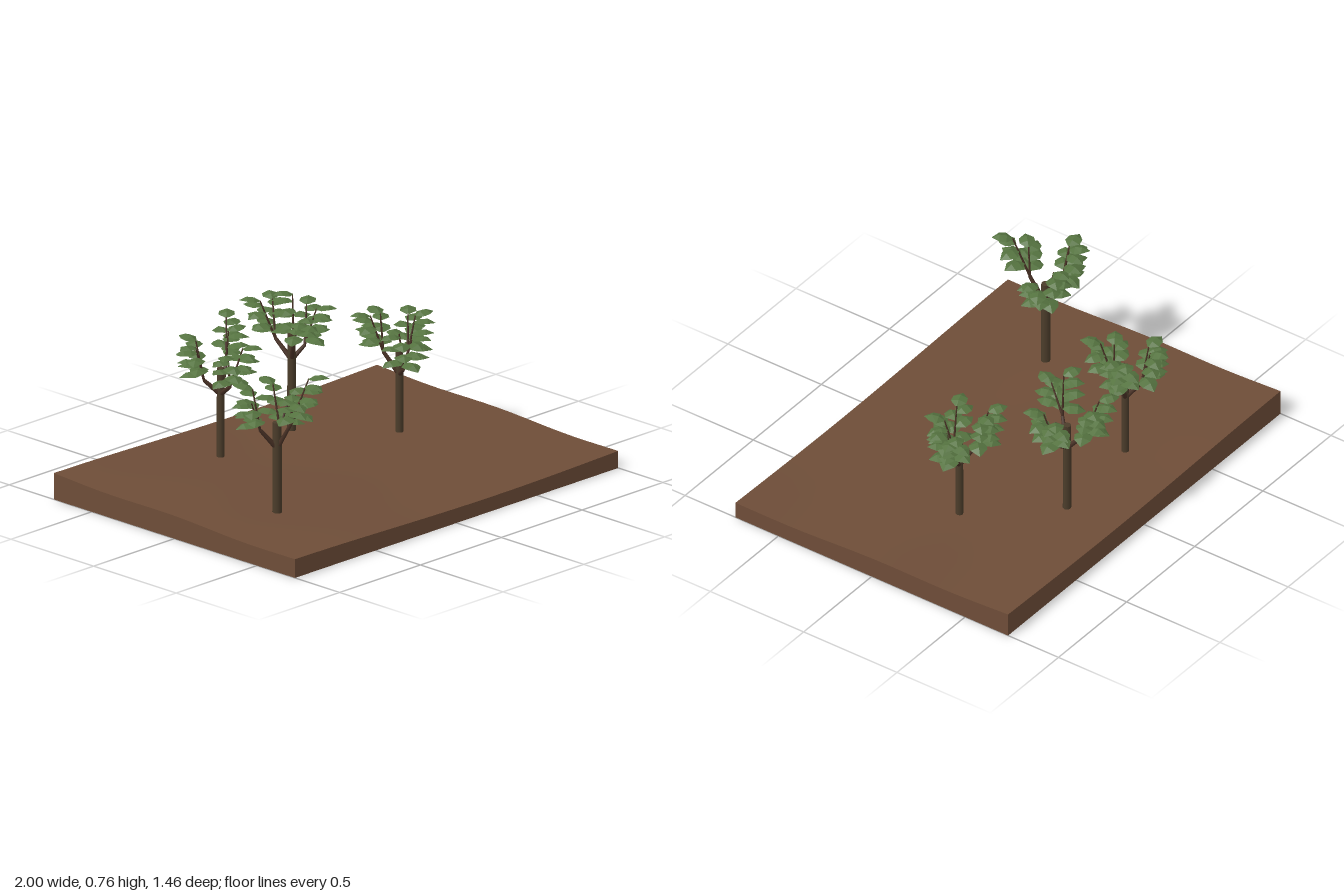
import * as THREE from 'three';

const soil = new THREE.MeshStandardMaterial({ name: 'soil brown', color: 0x6e4d38 });
const bark = new THREE.MeshStandardMaterial({ name: 'trunk bark', color: 0x4c3d2b });
const twigBark = new THREE.MeshStandardMaterial({ name: 'branch bark', color: 0x4a3226 });
const leafGreen = new THREE.MeshStandardMaterial({ name: 'leaf green', color: 0x557340 });
leafGreen.side = THREE.DoubleSide;
leafGreen.flatShading = true;

const W = 2, D = 1.46;

// Gently rolling surface of the ground slab
function groundHeight(x, z) {
  return 0.095 - 0.024 * z - 0.01 * Math.cos((x - 0.25) * 2.4)
    - 0.009 * Math.sin(Math.PI * z / 0.85) ** 2;
}

function makeGround() {
  const geo = new THREE.BoxGeometry(W, 1, D, 20, 1, 16);
  const p = geo.attributes.position;
  for (let i = 0; i < p.count; i++) {
    p.setY(i, p.getY(i) > 0 ? groundHeight(p.getX(i), p.getZ(i)) : 0);
  }
  geo.computeVertexNormals();
  const mesh = new THREE.Mesh(geo, soil);
  mesh.name = 'ground';
  return mesh;
}

// Drooping leaf pointing along +z, folded along its midrib
function makeLeafGeometry() {
  // distance, half width, midrib height, edge drop
  const sections = [[0, 0.008, 0, 0.002], [0.03, 0.04, 0.013, 0.014],
    [0.065, 0.036, 0.013, 0.014], [0.1, 0.002, -0.008, 0.001]];
  const pos = [], index = [];
  sections.forEach(([z, w, y, drop], i) => {
    pos.push(-w, y - drop, z, 0, y, z, w, y - drop, z);
    if (i === 0) return;
    for (let j = 0; j < 2; j++) {
      const a = (i - 1) * 3 + j, b = a + 3;
      index.push(a, b, a + 1, a + 1, b, b + 1);
    }
  });
  const geo = new THREE.BufferGeometry();
  geo.setAttribute('position', new THREE.Float32BufferAttribute(pos, 3));
  geo.setIndex(index);
  geo.computeVertexNormals();
  return geo;
}

// Tapered round limb between two points
function limb(a, b, r0, r1, sides, material, name) {
  const dir = b.clone().sub(a);
  const mesh = new THREE.Mesh(new THREE.CylinderGeometry(r1, r0, dir.length(), sides), material);
  mesh.position.copy(a).add(b).multiplyScalar(0.5);
  mesh.quaternion.setFromUnitVectors(new THREE.Vector3(0, 1, 0), dir.normalize());
  mesh.name = name;
  return mesh;
}

// Each branch is a pair of leaf clusters given as [x, top height, z]
const TREES = [
  { x: -0.62, z: 0.25, top: 0.5, r: 0.021, branches: [
    [[-0.79, 0.64, 0.23], [-0.72, 0.67, 0.16]],
    [[-0.55, 0.65, 0.13], [-0.47, 0.6, 0.215]],
    [[-0.65, 0.66, 0.37], [-0.545, 0.73, 0.41]]] },
  { x: -0.285, z: -0.42, top: 0.5, r: 0.017, branches: [
    [[-0.42, 0.62, -0.47], [-0.35, 0.63, -0.54]],
    [[-0.135, 0.69, -0.53], [-0.17, 0.65, -0.45]],
    [[-0.365, 0.6, -0.305], [-0.265, 0.63, -0.265]]] },
  { x: 0.19, z: -0.455, top: 0.53, r: 0.019, branches: [
    [[0.095, 0.68, -0.595], [0.21, 0.67, -0.6]],
    [[0.335, 0.64, -0.5], [0.31, 0.64, -0.38]],
    [[0.11, 0.75, -0.41], [0.1, 0.66, -0.285]]] },
  { x: 0.5, z: -0.105, top: 0.47, r: 0.017, branches: [
    [[0.385, 0.63, -0.21], [0.47, 0.63, -0.215]],
    [[0.63, 0.6, -0.18], [0.64, 0.6, -0.11]],
    [[0.395, 0.6, -0.025], [0.495, 0.55, 0.015]]] },
];

// Twig with leaves alternating left and right up its length
function makeTwig(fork, cluster, leafGeo) {
  const twig = new THREE.Group();
  twig.name = 'leafyTwig';
  const dir = new THREE.Vector3(cluster.x - fork.x, 0, cluster.z - fork.z).normalize();
  const heading = Math.atan2(dir.x, dir.z);
  const tip = cluster.clone().addScaledVector(dir, -0.03);
  tip.y -= 0.012;
  twig.add(limb(fork, tip, 0.006, 0.003, 5, twigBark, 'twig'));
  const count = 6;
  for (let i = 0; i < count; i++) {
    const t = 0.2 + 0.8 * i / (count - 1);
    const leaf = new THREE.Mesh(leafGeo, leafGreen);
    leaf.name = 'leaf';
    leaf.position.lerpVectors(fork, tip, t);
    const side = i === count - 1 ? 0 : (i % 2 ? 1 : -1);
    leaf.rotation.set(0.05 - 0.2 * (i % 3) * 0.5, heading + side * 0.6, 0, 'YXZ');
    leaf.scale.setScalar(1.05 - 0.15 * t);
    twig.add(leaf);
  }
  return twig;
}

function makeTree(spec, leafGeo) {
  const tree = new THREE.Group();
  tree.name = 'tree';
  const base = new THREE.Vector3(spec.x, groundHeight(spec.x, spec.z) - 0.015, spec.z);
  const top = new THREE.Vector3(spec.x, spec.top, spec.z);
  tree.add(limb(base, top, spec.r, spec.r * 0.95, 8, bark, 'trunk'));
  const start = new THREE.Vector3(spec.x, spec.top - 0.12, spec.z);
  for (const pair of spec.branches) {
    const clusters = pair.map((c) => new THREE.Vector3(...c));
    const mid = clusters[0].clone().add(clusters[1]).multiplyScalar(0.5);
    const fork = start.clone().lerp(mid, 0.55);
    fork.y = mid.y - 0.18;
    tree.add(limb(start, fork, 0.012, 0.008, 6, twigBark, 'branch'));
    for (const c of clusters) tree.add(makeTwig(fork, c, leafGeo));
  }
  return tree;
}

export function createModel() {
  const model = new THREE.Group();
  model.name = 'groveOnGround';
  model.add(makeGround());
  const leafGeo = makeLeafGeometry();
  for (const spec of TREES) model.add(makeTree(spec, leafGeo));
  return model;
}
